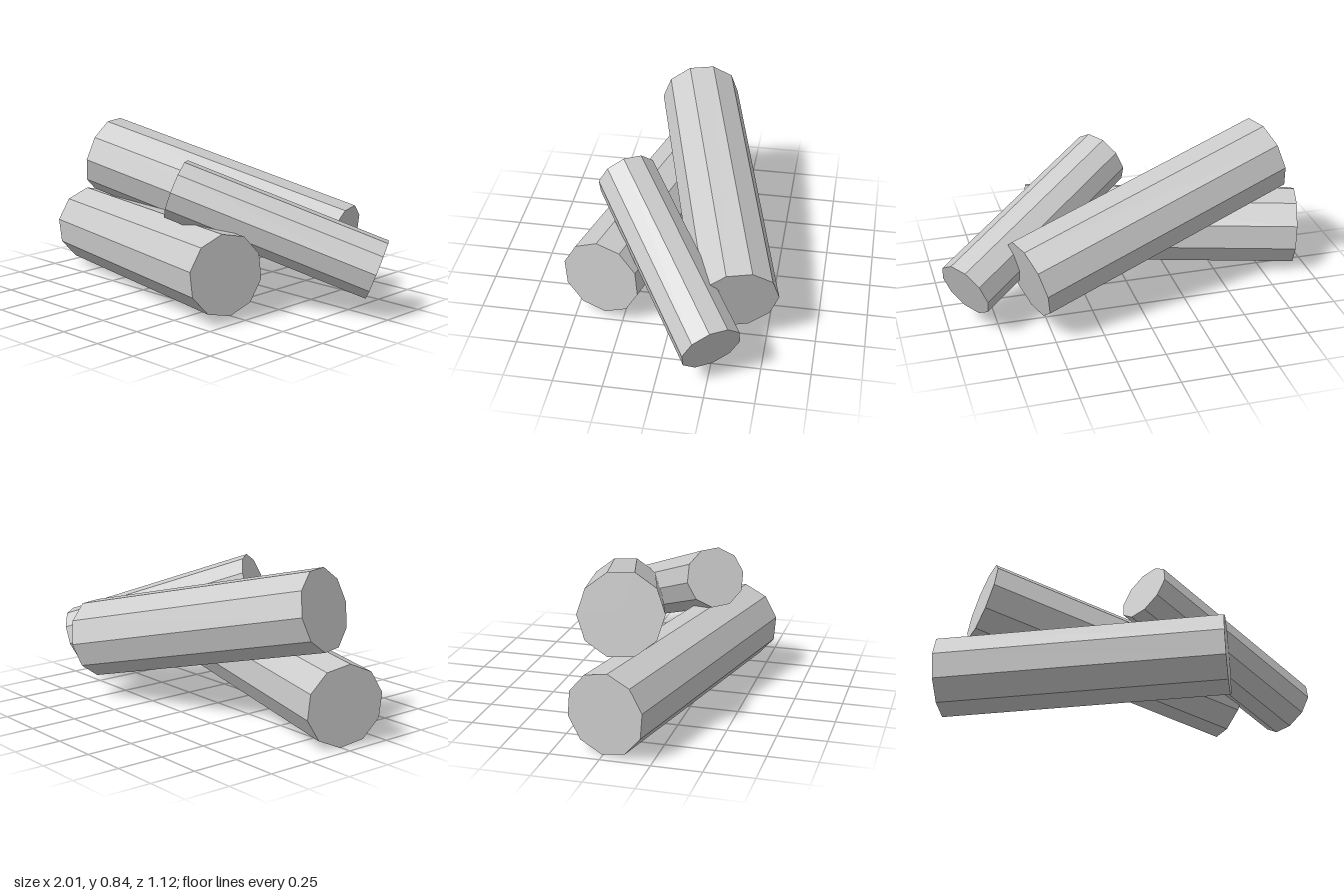
import * as THREE from 'three';

const SIDES = 10;

// A straight ten-sided log between two end centres.
// `corner` points roughly from the axis to one lengthwise edge and sets the roll.
function makeLog(name, start, end, radius, corner) {
  const a = new THREE.Vector3(...start);
  const b = new THREE.Vector3(...end);
  const axis = b.clone().sub(a);
  const length = axis.length();
  axis.normalize();

  const out = new THREE.Vector3(...corner);
  out.addScaledVector(axis, -out.dot(axis)).normalize();
  const across = new THREE.Vector3().crossVectors(axis, out);

  const log = new THREE.Mesh(
    new THREE.CylinderGeometry(radius, radius, length, SIDES),
    new THREE.MeshStandardMaterial({ color: 0xcccccc, flatShading: true })
  );
  log.name = name;
  log.quaternion.setFromRotationMatrix(new THREE.Matrix4().makeBasis(across, axis, out));
  log.position.copy(a).add(b).multiplyScalar(0.5);
  return log;
}

export function createModel() {
  const pile = new THREE.Group();
  pile.name = 'logPile';
  pile.add(
    // thick log lying on the ground in front
    makeLog('groundLog', [-0.95, 0.21, 0.012], [0.475, 0.25, 0.362], 0.21, [-0.05, 0.045, 0.198]),
    // thick log resting across it, sloping down to the back
    makeLog('leaningLog', [-0.765, 0.647, 0.04], [0.605, 0.302, -0.357], 0.21, [-0.02, 0.123, -0.173]),
    // thin short log on top
    makeLog('thinLog', [0.06, 0.61, 0.301], [0.91, 0.24, -0.272], 0.158, [0.062, 0.144, 0])
  );
  return pile;
}
